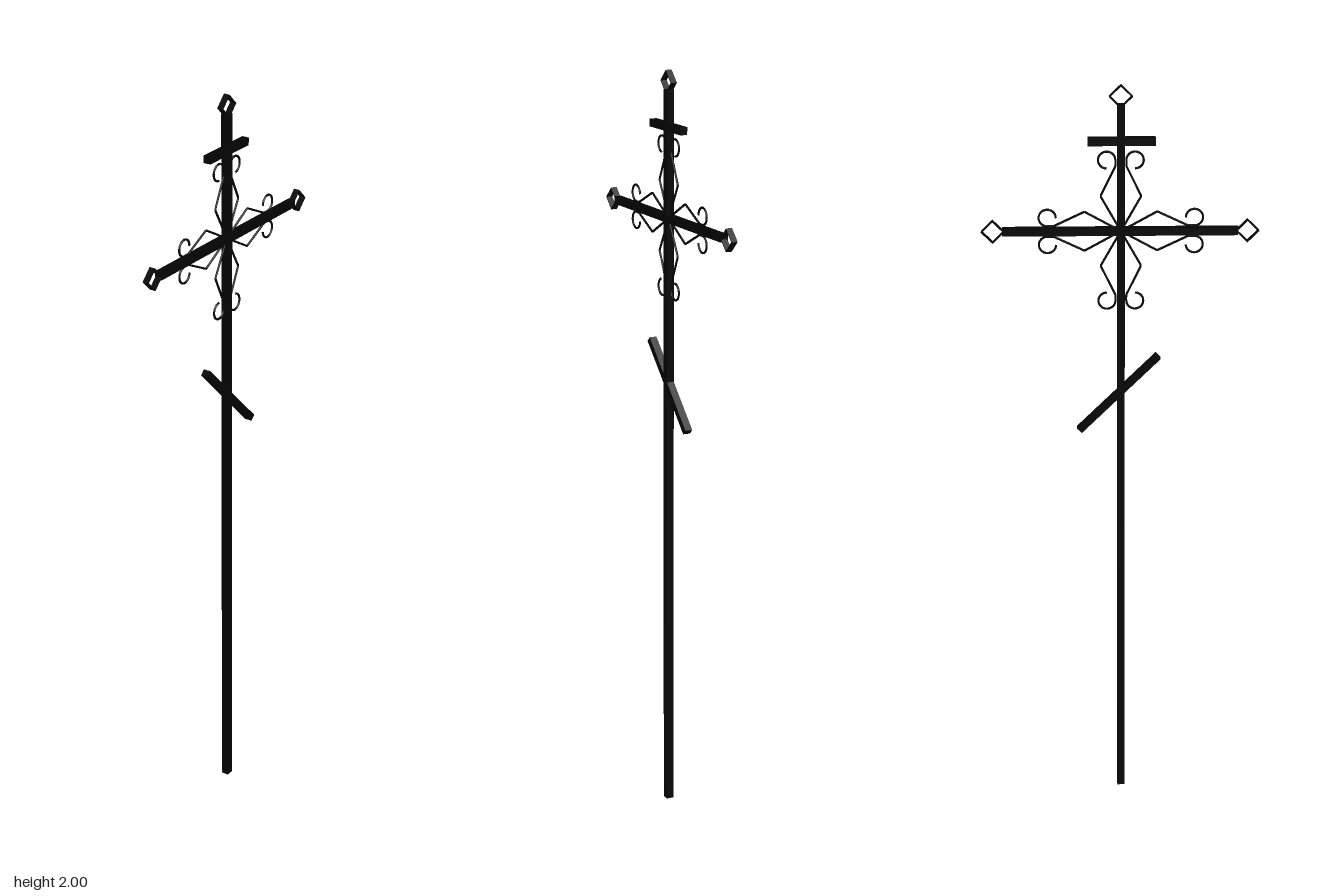
import * as THREE from 'three';

const iron = new THREE.MeshStandardMaterial({ color: 0x040404 });
const CROSS_Y = 1.617;
const POST_Z = 0.002;

function add(parent, name, geometry, y = 0, z = 0) {
  const mesh = new THREE.Mesh(geometry, iron);
  mesh.name = name;
  mesh.position.set(0, y, z);
  parent.add(mesh);
  return mesh;
}

// Thin open diamond frame lying in the YZ plane
function diamondGeometry(half, wall, depth) {
  const corners = r => [[r, 0], [0, r], [-r, 0], [0, -r]].map(([x, y]) => new THREE.Vector2(x, y));
  const shape = new THREE.Shape(corners(half));
  shape.holes.push(new THREE.Path(corners(half - wall).reverse()));
  const g = new THREE.ExtrudeGeometry(shape, { depth, bevelEnabled: false });
  g.translate(0, 0, -depth / 2);
  return g.rotateY(Math.PI / 2);
}

// Bent wire running up from the crossing and ending in an open curl; side is +1 or -1
function scrollGeometry(side) {
  const p = (out, along) => new THREE.Vector3(0, along, side * out);
  const path = new THREE.CurvePath();
  path.add(new THREE.LineCurve3(p(0, 0), p(0.052, 0.093)));
  path.add(new THREE.LineCurve3(p(0.052, 0.093), p(0.014, 0.172)));
  const curl = [p(0.014, 0.172)];
  for (let i = 0; i <= 14; i++) {
    const a = Math.PI - (i / 14) * Math.PI * 1.5;
    curl.push(p(0.036 + 0.022 * Math.cos(a), 0.188 + 0.022 * Math.sin(a)));
  }
  path.add(new THREE.CatmullRomCurve3(curl));
  return new THREE.TubeGeometry(path, 90, 0.003, 6, false);
}

export function createModel() {
  const group = new THREE.Group();
  group.name = 'ironCross';

  // Post and bars
  add(group, 'post', new THREE.BoxGeometry(0.02, 1.95, 0.02), 0.975, POST_Z);
  add(group, 'mainCrossbar', new THREE.BoxGeometry(0.02, 0.02, 0.604), CROSS_Y);
  add(group, 'upperBar', new THREE.BoxGeometry(0.02, 0.02, 0.172), 1.854, 0.004);
  const slanted = add(group, 'slantedBar', new THREE.BoxGeometry(0.02, 0.018, 0.292), 1.173, -0.004);
  slanted.rotation.x = -Math.PI / 4;

  // Diamond finials on the three ends
  const diamond = diamondGeometry(0.03, 0.003, 0.017);
  add(group, 'topFinial', diamond, 1.97, POST_Z);
  add(group, 'frontFinial', diamond, CROSS_Y, 0.326);
  add(group, 'backFinial', diamond, CROSS_Y, -0.326);

  // Mirrored scroll pairs around the crossing
  const scrolls = [scrollGeometry(1), scrollGeometry(-1)];
  ['top', 'front', 'bottom', 'back'].forEach((name, i) => {
    const pair = new THREE.Group();
    pair.name = name + 'Scrolls';
    pair.position.set(0, CROSS_Y, POST_Z);
    pair.rotation.x = i * Math.PI / 2;
    scrolls.forEach(g => add(pair, 'scroll', g));
    group.add(pair);
  });

  return group;
}
